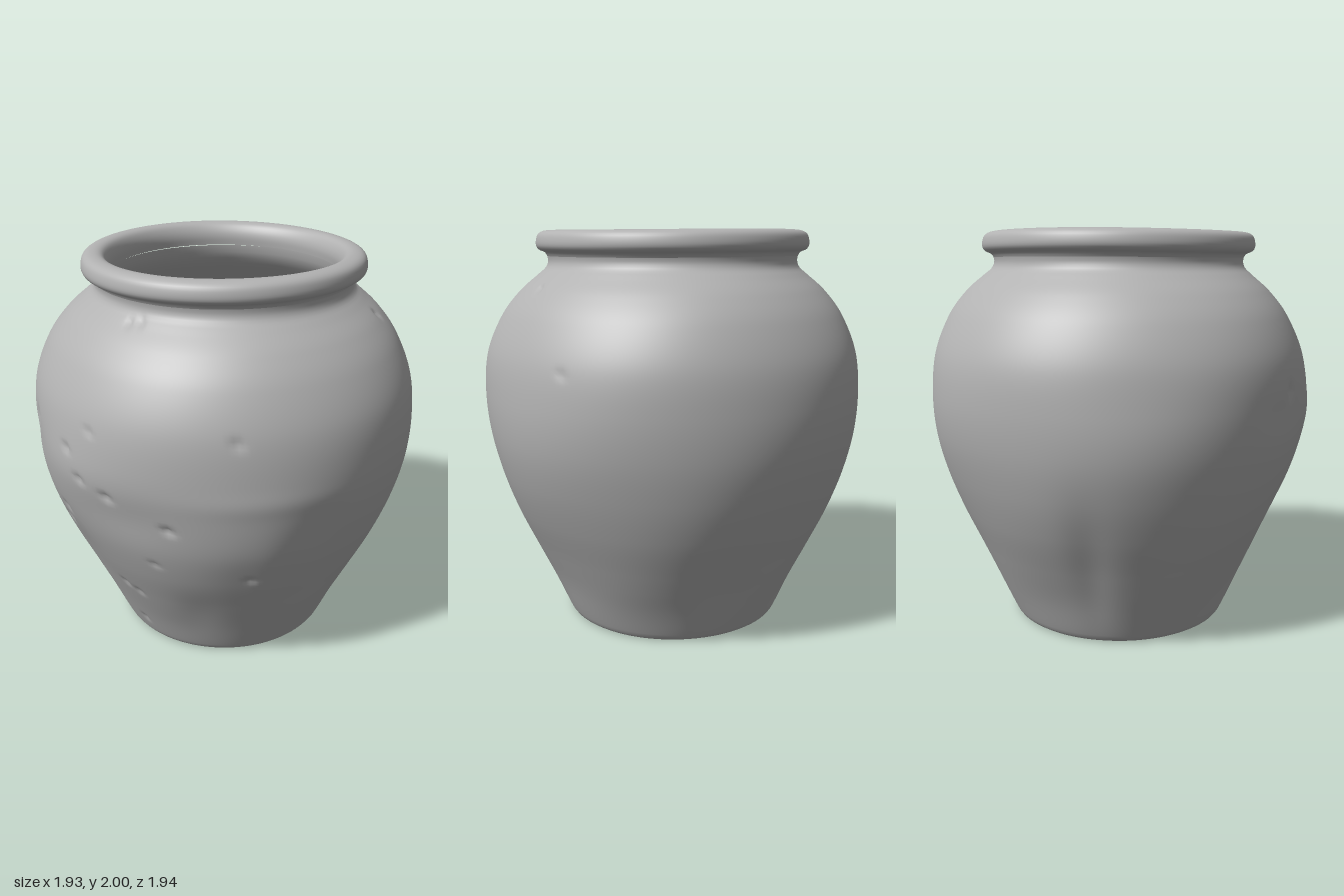
import * as THREE from 'three';
import { mergeVertices } from 'three/addons/utils/BufferGeometryUtils.js';

const clay = new THREE.MeshStandardMaterial({ color: 0xb2b2b2 });
clay.name = 'grey clay';

// Worn spots: [angle in degrees from front towards +x, height, width angle, height spread, depth]
const dents = [
  // broad hollows and swellings
  [-32, 0.95, 16, 0.12, 0.012], [5, 1.08, 22, 0.06, -0.006], [8, 0.5, 6, 0.3, -0.008],
  [22, 0.9, 9, 0.15, 0.008], [-52, 1.12, 14, 0.14, -0.01], [-62, 0.6, 10, 0.2, 0.012],
  [-142, 0.5, 7, 0.3, 0.016], [-125, 1.3, 18, 0.2, 0.01], [-15, 0.35, 9, 0.15, 0.008],
  [142, 0.3, 8, 0.15, 0.01], [0, 0.8, 14, 0.12, -0.006], [-80, 1.15, 10, 0.08, 0.008],
  // small chips
  [-39, 1.05, 1.5, 0.02, 0.02], [-21, 0.93, 1.5, 0.02, 0.02], [-48, 1.1, 1.3, 0.018, 0.018],
  [-53, 1.23, 1.3, 0.018, 0.018], [-44, 1.35, 1.2, 0.015, 0.014], [-2, 1.38, 1.4, 0.025, 0.012],
  [-38, 1.79, 1.4, 0.015, 0.015], [-43, 1.78, 1.4, 0.015, 0.015], [69, 1.72, 1.3, 0.016, 0.022],
  [-40, 0.41, 1.5, 0.02, 0.014], [-46, 0.44, 1.5, 0.018, 0.014], [3, 0.63, 1.2, 0.018, 0.014],
  [-66, 0.74, 1.6, 0.02, 0.016], [-27, 0.7, 1.4, 0.016, 0.012], [-48, 0.13, 1.8, 0.02, 0.012],
  [94, 1.37, 1.4, 0.02, 0.008], [-62, 0.84, 1.5, 0.02, 0.014], [-75, 1.25, 1.3, 0.04, 0.016],
];

// Push the surface in or out around each worn spot
function wear(geometry) {
  const p = geometry.attributes.position;
  for (let i = 0; i < p.count; i++) {
    const x = p.getX(i), y = p.getY(i), z = p.getZ(i);
    const r = Math.hypot(x, z), angle = THREE.MathUtils.radToDeg(Math.atan2(x, z));
    const belly = THREE.MathUtils.smoothstep(y, 0.02, 0.3) * (1 - THREE.MathUtils.smoothstep(y, 1.75, 1.86));
    const a = THREE.MathUtils.degToRad(angle);
    let push = 0.003 * belly * (Math.sin(3 * a + 4 * y) + Math.sin(5 * a - 6 * y));
    for (const [da, dy, wa, wy, depth] of dents) {
      const u = (THREE.MathUtils.euclideanModulo(angle - da + 180, 360) - 180) / wa;
      const v = (y - dy) / wy;
      push -= depth * Math.exp(-u * u - v * v) * (y < 1.84 ? 1 : 0);
    }
    const s = (r + push) / r;
    // uneven hand-rolled lip
    const sag = y > 1.84 ? 0.004 * Math.sin(2 * a + 1) : 0;
    p.setXYZ(i, x * s, y + sag * Math.min(1, (y - 1.84) / 0.05), z * s);
  }
}

// Turn a smoothed profile into a seamless surface
function turned(name, profile, steps, segments, worn) {
  const curve = new THREE.SplineCurve(profile.map(([r, y]) => new THREE.Vector2(r, y)));
  const points = curve.getSpacedPoints(steps);
  let geometry = new THREE.LatheGeometry(points, segments);
  geometry.deleteAttribute('uv');
  geometry.deleteAttribute('normal');
  geometry = mergeVertices(geometry, 1e-5);
  if (worn) wear(geometry);
  geometry.computeVertexNormals();
  const mesh = new THREE.Mesh(geometry, clay);
  mesh.name = name;
  return mesh;
}

export function createModel() {
  const pot = new THREE.Group();
  pot.name = 'pot';

  // Outer wall, from the foot to just under the lip
  pot.add(turned('body', [
    [0.54, 0], [0.557, 0.012], [0.575, 0.045], [0.645, 0.2], [0.74, 0.4], [0.832, 0.6], [0.905, 0.8],
    [0.953, 1.0], [0.967, 1.2], [0.945, 1.4], [0.87, 1.58], [0.78, 1.7], [0.69, 1.78],
    [0.65, 1.815], [0.637, 1.845], [0.64, 1.87],
  ], 120, 240, true));

  // Rolled lip, over the top and into the mouth
  pot.add(turned('lip', [
    [0.64, 1.87], [0.652, 1.888], [0.68, 1.9], [0.694, 1.918], [0.695, 1.945], [0.685, 1.975],
    [0.66, 1.992], [0.62, 1.996], [0.59, 1.985], [0.57, 1.955], [0.562, 1.92], [0.565, 1.88],
  ], 36, 160, true));

  // Hollow inside, down to a dished floor
  pot.add(turned('interior', [
    [0.565, 1.88], [0.575, 1.83], [0.62, 1.76], [0.72, 1.66], [0.81, 1.55], [0.875, 1.4], [0.897, 1.2],
    [0.88, 1.0], [0.83, 0.8], [0.76, 0.6], [0.67, 0.4], [0.56, 0.22], [0.42, 0.13], [0.2, 0.09], [0, 0.08],
  ], 60, 96, false));

  // Flat underside
  const base = new THREE.Mesh(new THREE.CircleGeometry(0.541, 96).rotateX(Math.PI / 2), clay);
  base.name = 'base';
  pot.add(base);

  return pot;
}
